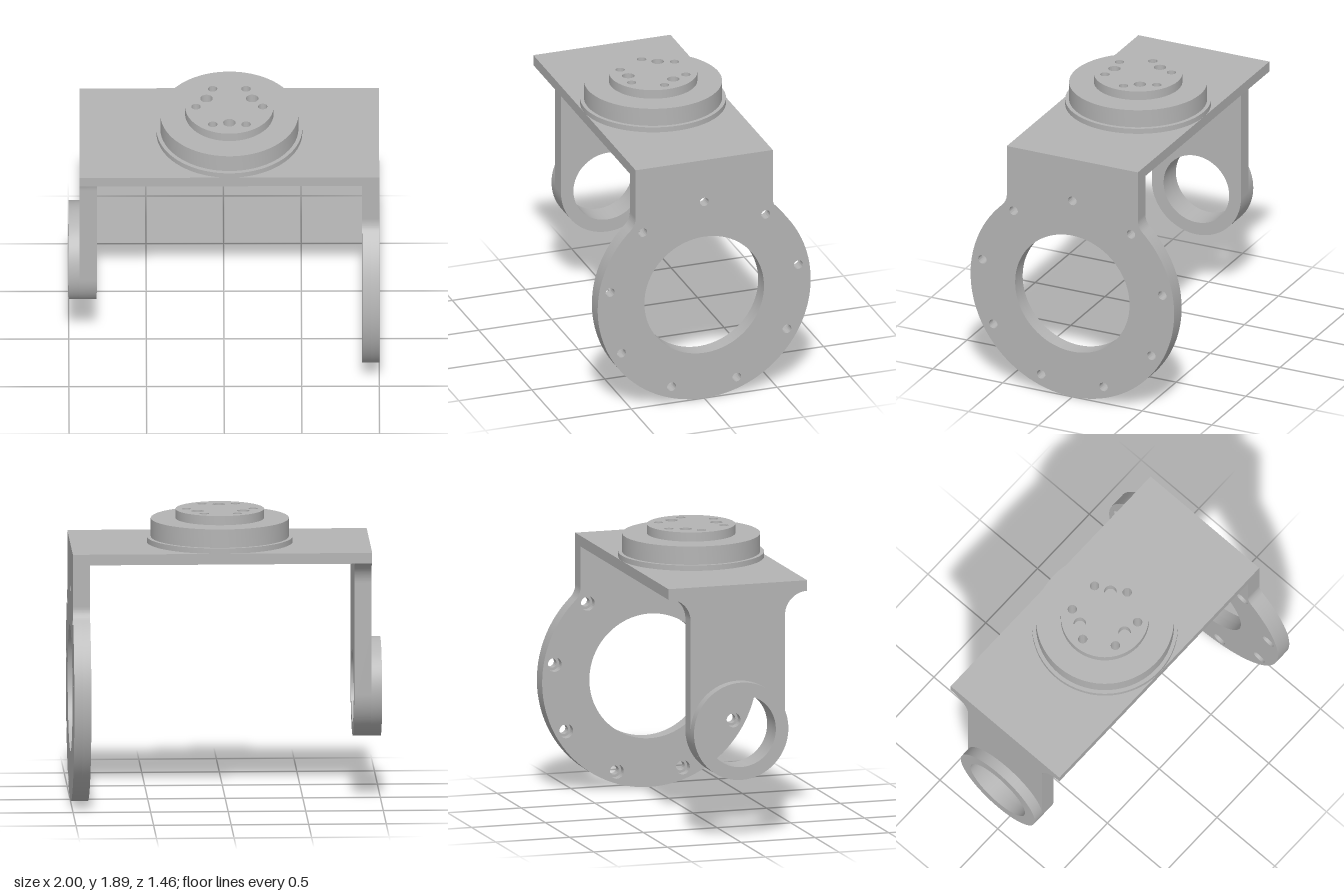
import * as THREE from 'three';
import { toCreasedNormals } from 'three/addons/utils/BufferGeometryUtils.js';

const AXIS_Y = 0.73;   // height of the pivot axis
const DISC_X = 0.035;  // centre of the round mounting hub
const HALF = 0.47;     // half depth of the bracket
const PLATE_Y = 1.61;  // underside of the top plate

export function createModel() {
  const model = new THREE.Group();
  model.name = 'bracket';
  const grey = new THREE.MeshStandardMaterial({ color: 0xb4b4b4 });
  grey.name = 'metal grey';

  const circle = (cls, x, y, r) => new cls().absarc(x, y, r, 0, Math.PI * 2, false);
  const addHole = (shape, x, y, r) => shape.holes.push(circle(THREE.Path, x, y, r));

  function extrude(name, shape, depth) {
    const geo = new THREE.ExtrudeGeometry(shape, { depth, bevelEnabled: false, curveSegments: 48 });
    const mesh = new THREE.Mesh(geo, grey);
    mesh.name = name;
    model.add(mesh);
    return mesh;
  }
  // Extrude a (z, y) profile sideways from x0 to x1
  function sideways(name, shape, x0, x1) {
    const mesh = extrude(name, shape, x1 - x0);
    mesh.geometry = toCreasedNormals(mesh.geometry.rotateY(Math.PI / 2).translate(x0, 0, 0), 0.5);
  }
  // Extrude an (x, -z) profile upwards from y0 to y1
  function upwards(name, shape, y0, y1) {
    const mesh = extrude(name, shape, y1 - y0);
    mesh.geometry = toCreasedNormals(mesh.geometry.rotateX(-Math.PI / 2).translate(0, y0, 0), 0.5);
  }

  // Large ring leg: neck blended into a disc, with nine counterbored bolt holes
  function ringLegShape(boltRadius) {
    const fr = 0.116, fy = 1.34, fz = HALF + fr;
    const a = Math.atan2(fy - AXIS_Y, fz);
    const s = new THREE.Shape();
    s.moveTo(-HALF, PLATE_Y);
    s.lineTo(-HALF, fy);
    s.absarc(-fz, fy, fr, 0, -a, true);
    s.absarc(0, AXIS_Y, 0.73, Math.PI - a, Math.PI * 2 + a, false);
    s.absarc(fz, fy, fr, Math.PI + a, Math.PI, true);
    s.lineTo(HALF, PLATE_Y);
    addHole(s, 0, AXIS_Y, 0.41);
    for (let i = 0; i < 9; i++) {
      const t = (i / 9) * Math.PI * 2;
      addHole(s, 0.655 * Math.sin(t), AXIS_Y + 0.655 * Math.cos(t), boltRadius);
    }
    return s;
  }
  sideways('ringLegInner', ringLegShape(0.047), 0.89, 0.945);
  sideways('ringLegOuter', ringLegShape(0.03), 0.945, 1);

  // Narrow arm: flared top and rounded end around the pivot bore
  const arm = new THREE.Shape();
  arm.moveTo(-HALF, PLATE_Y);
  arm.absarc(-HALF, PLATE_Y - 0.15, 0.15, Math.PI / 2, 0, true);
  arm.absarc(0, AXIS_Y, 0.32, Math.PI, Math.PI * 2, false);
  arm.absarc(HALF, PLATE_Y - 0.15, 0.15, Math.PI, Math.PI / 2, true);
  addHole(arm, 0, AXIS_Y, 0.235);
  sideways('pivotArm', arm, -0.93, -0.82);

  const boss = circle(THREE.Shape, 0, AXIS_Y, 0.32);
  addHole(boss, 0, AXIS_Y, 0.235);
  sideways('pivotBoss', boss, -1, -0.93);

  // Six screw holes run through the plate and hub
  function screwHoles(shape, r) {
    for (let i = 0; i < 6; i++) {
      const t = (i / 6) * Math.PI * 2;
      addHole(shape, DISC_X + 0.215 * Math.cos(t), 0.215 * Math.sin(t), r);
    }
    return shape;
  }

  // Top plate with wide bores underneath
  const plate = new THREE.Shape();
  plate.moveTo(-0.93, -HALF);
  plate.lineTo(1, -HALF);
  plate.lineTo(1, HALF);
  plate.lineTo(-0.93, HALF);
  plate.closePath();
  upwards('topPlate', screwHoles(plate, 0.05), PLATE_Y, 1.68);

  // Stepped round hub
  upwards('hubFlange', screwHoles(circle(THREE.Shape, DISC_X, 0, 0.47), 0.05), 1.68, 1.715);
  upwards('hubBody', screwHoles(circle(THREE.Shape, DISC_X, 0, 0.445), 0.03), 1.715, 1.835);

  // Hub cap with three extra blind holes
  const cap = screwHoles(circle(THREE.Shape, DISC_X, 0, 0.285), 0.03);
  for (let i = 0; i < 3; i++) {
    const t = Math.PI / 6 + (i / 3) * Math.PI * 2;
    addHole(cap, DISC_X + 0.17 * Math.cos(t), 0.17 * Math.sin(t), 0.04);
  }
  upwards('hubCap', cap, 1.835, 1.895);

  return model;
}
